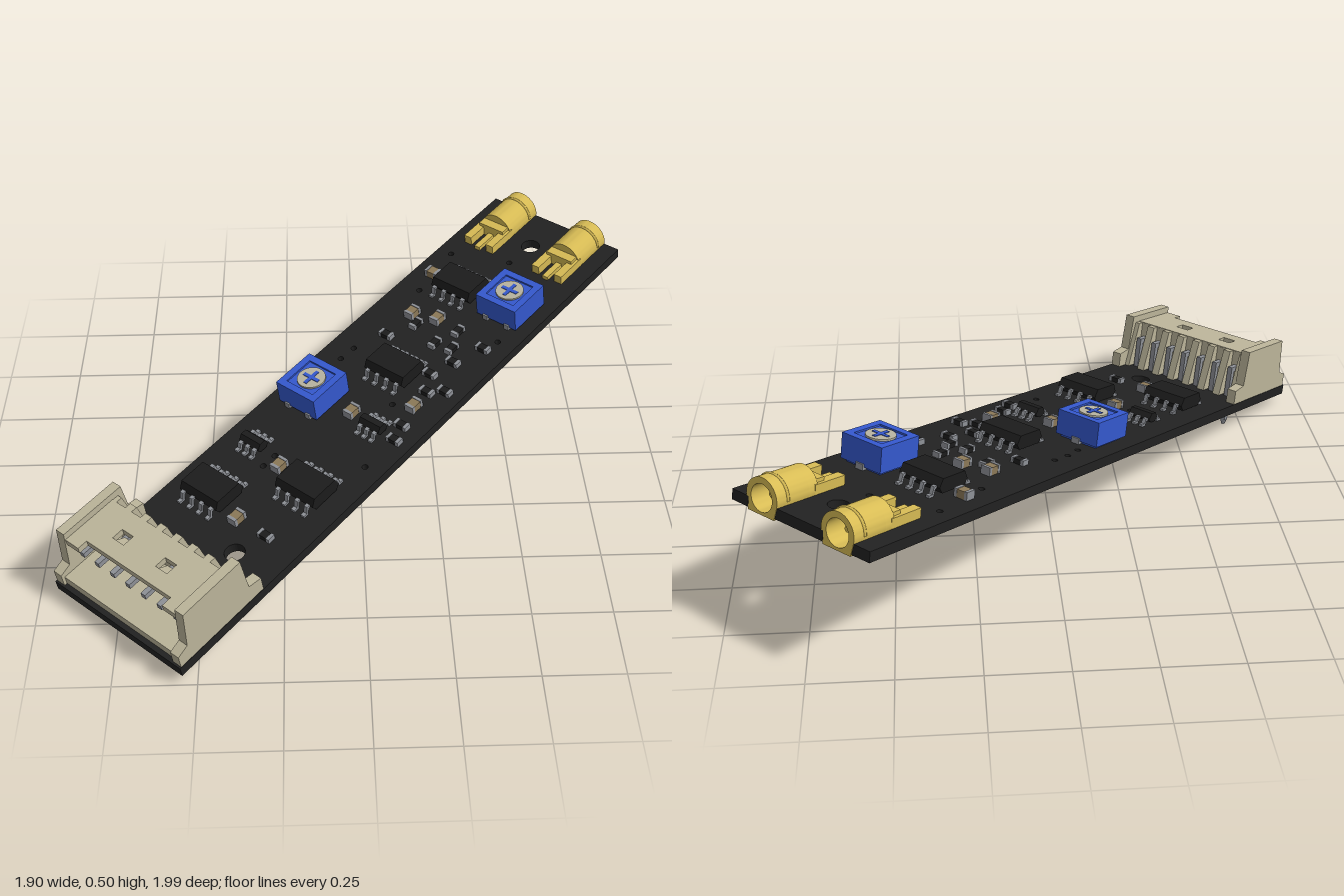
import * as THREE from 'three';
import { toCreasedNormals } from 'three/addons/utils/BufferGeometryUtils.js';

const mat = (name, color, extra = {}) => Object.assign(new THREE.MeshStandardMaterial({ color, ...extra }), { name });

export function createModel() {
  const M = {
    board: mat('board black', 0x222222),
    chip: mat('chip black', 0x1c1c1c),
    blue: mat('trimmer blue', 0x3559cf),
    dial: mat('dial grey', 0xb9b5a2),
    gold: mat('gold', 0xd8bc55),
    beige: mat('housing beige', 0xbdb69b),
    metal: mat('lead metal', 0x8f9298),
    tan: mat('capacitor tan', 0x8d7a58),
  };
  const model = new THREE.Group();
  model.name = 'circuitBoardModel';

  // Board frame: x across, y away from the top face, z towards the socket end
  const pcb = new THREE.Group();
  pcb.name = 'boardAssembly';
  pcb.rotation.set(0.162, -0.745, 0, 'YXZ');
  pcb.position.set(0, 0.243, 0);
  model.add(pcb);

  const add = (parent, name, geo, material, x = 0, y = 0, z = 0) => {
    const m = new THREE.Mesh(geo, material);
    m.name = name;
    m.position.set(x, y, z);
    parent.add(m);
    return m;
  };
  const box = (parent, name, material, w, h, d, x, y, z) =>
    add(parent, name, new THREE.BoxGeometry(w, h, d), material, x, y, z);
  const group = (name, x = 0, z = 0) => {
    const g = new THREE.Group();
    g.name = name;
    g.position.set(x, 0, z);
    pcb.add(g);
    return g;
  };
  const shapeOf = pts => new THREE.Shape(pts.map(p => new THREE.Vector2(...p)));
  const circleHole = (s, x, y, r) => s.holes.push(new THREE.Path().absarc(x, y, r, 0, Math.PI * 2, true));
  const extrude = (s, depth) => new THREE.ExtrudeGeometry(s, { depth, bevelEnabled: false, curveSegments: 16 });
  // Plan outline (x, z) with its top at y = 0
  const plate = (s, t) => extrude(s, t).rotateX(Math.PI / 2);
  // Side outline (z, y) centred across x
  const profile = (pts, w) => extrude(shapeOf(pts), w).rotateY(-Math.PI / 2).translate(w / 2, 0, 0);

  // Board with edge notches, mounting holes and vias
  const T = 0.034, L = 1.1165, W = 0.2725, NOTCH = -0.925;
  const outline = [[-W, -L]];
  for (const c of [-0.15, 0.15]) outline.push([c - 0.055, -L], [c - 0.055, NOTCH], [c + 0.055, NOTCH], [c + 0.055, -L]);
  outline.push([W, -L], [W, L], [-W, L]);
  const boardShape = shapeOf(outline);
  circleHole(boardShape, 0, -0.961, 0.033);
  circleHole(boardShape, 0.103, 0.71, 0.033);
  for (const [x, z] of [[-0.215, -0.77], [-0.186, -0.55], [-0.009, -0.845], [0.205, -0.49], [-0.186, -0.19],
    [-0.189, -0.125], [-0.18, -0.06], [0.098, -0.055], [0.204, 0.21], [-0.069, 0.34], [-0.07, 0.395]])
    circleHole(boardShape, x, z, 0.01);
  add(pcb, 'board', plate(boardShape, T), M.board);

  // Gold edge connectors
  for (const x of [-0.15, 0.15]) {
    const g = group('coaxConnector', x);
    const s = new THREE.Shape();
    s.moveTo(-0.053, -0.04).lineTo(0.053, -0.04).lineTo(0.053, 0);
    s.absarc(0, 0.012, 0.063, -0.19, Math.PI + 0.19, false);
    s.lineTo(-0.053, -0.04);
    const ring = s.clone();
    circleHole(ring, 0, 0.012, 0.043);
    add(g, 'barrel', toCreasedNormals(extrude(ring, 0.125), 0.5), M.gold, 0, 0, -1.118);
    add(g, 'barrelBack', toCreasedNormals(extrude(s, 0.035), 0.5), M.gold, 0, 0, -0.993);
    add(g, 'collar', new THREE.TorusGeometry(0.061, 0.006, 6, 24, Math.PI), M.gold, 0, 0.012, -1.075);
    add(g, 'centrePin', new THREE.CylinderGeometry(0.01, 0.01, 0.09, 10).rotateX(Math.PI / 2), M.gold, 0, 0.012, -1.035);
    box(g, 'body', M.gold, 0.105, 0.085, 0.035, 0, 0.0025, -0.943);
    for (const side of [-1, 1]) box(g, 'groundLeg', M.gold, 0.03, 0.032, 0.12, side * 0.048, 0.017, -0.91);
    box(g, 'signalLeg', M.gold, 0.022, 0.014, 0.12, 0, 0.008, -0.9);
  }

  // Blue trimmers
  for (const [x, z] of [[0.146, -0.643], [-0.138, 0.067]]) {
    const g = group('trimmer', x, z);
    box(g, 'trimmerBody', M.blue, 0.165, 0.078, 0.165, 0, 0.049, 0);
    box(g, 'trimmerBase', M.blue, 0.14, 0.012, 0.14, 0, 0.006, 0);
    for (const s of [-1, 1]) {
      box(g, 'topRim', M.blue, 0.165, 0.006, 0.025, 0, 0.091, s * 0.07);
      box(g, 'topRim', M.blue, 0.025, 0.006, 0.115, s * 0.07, 0.091, 0);
      box(g, 'trimmerLead', M.metal, 0.02, 0.02, 0.02, s * 0.045, 0.01, 0.078);
    }
    box(g, 'trimmerLead', M.metal, 0.03, 0.02, 0.02, 0, 0.01, -0.078);
    add(g, 'dial', new THREE.CylinderGeometry(0.048, 0.048, 0.006, 24), M.dial, 0, 0.091, 0);
    box(g, 'dialSlot', M.blue, 0.064, 0.003, 0.013, 0, 0.0945, 0);
    box(g, 'dialSlot', M.blue, 0.013, 0.003, 0.064, 0, 0.0945, 0);
  }

  // Chips with a row of bent leads on each end
  const chip = (x, z, w, d, h, leads, pitch) => {
    const g = group('chip', x, z);
    const a = d / 2, b = d / 2 - 0.014;
    add(g, 'chipBody', profile([[-b, 0.008], [b, 0.008], [a, h / 2], [b, h], [-b, h], [-a, h / 2]], w), M.chip);
    for (let i = 0; i < leads; i++) for (const s of [-1, 1]) {
      const lead = add(g, 'lead', profile([[0, h / 2 - 0.004], [0.008, h / 2 - 0.004], [0.014, 0], [0.034, 0],
        [0.034, 0.008], [0.02, 0.008], [0.014, h / 2 + 0.004], [0, h / 2 + 0.004]], 0.014), M.metal,
      (i - (leads - 1) / 2) * pitch, 0, s * (a - 0.003));
      if (s < 0) lead.rotation.y = Math.PI;
    }
  };
  for (const [x, z] of [[-0.122, 0.575], [0.119, 0.39], [0.007, -0.18], [-0.067, -0.635]])
    chip(x, z, 0.16, 0.125, 0.055, 4, 0.041);
  chip(-0.155, 0.345, 0.085, 0.05, 0.04, 3, 0.03);
  chip(0.117, 0.065, 0.085, 0.05, 0.04, 3, 0.03);

  // Small two-ended parts: x, z, capacitor (1) or resistor (0), turned
  const passives = [[-0.194, -0.64, 1, 0], [-0.124, -0.435, 1, 1], [-0.032, -0.46, 1, 1], [0.015, 0.053, 1, 1],
    [0.167, -0.083, 1, 1], [-0.02, 0.37, 1, 1], [0.019, 0.61, 1, 1], [0.142, 0.61, 0, 0], [0.035, -0.36, 0, 1],
    [0.065, -0.45, 0, 1], [0.188, -0.43, 0, 0], [0.145, -0.32, 0, 0], [0.209, -0.195, 0, 0], [0.116, -0.233, 0, 0],
    [0.189, 0.006, 0, 0], [-0.08, -0.4, 0, 1], [0.1, -0.37, 0, 1], [0.16, -0.16, 0, 0], [0.21, 0.07, 0, 0], [-0.13, -0.3, 0, 0]];
  for (const [x, z, cap, turned] of passives) {
    const g = group(cap ? 'capacitor' : 'resistor', x, z);
    const h = cap ? 0.026 : 0.016, d = cap ? 0.034 : 0.026;
    if (turned) g.rotation.y = Math.PI / 2;
    box(g, 'core', cap ? M.tan : M.chip, 0.03, h, d, 0, h / 2, 0);
    for (const s of [-1, 1]) box(g, 'endCap', M.metal, 0.011, h + 0.002, d + 0.002, s * 0.02, h / 2 + 0.001, 0);
  }

  // Socket housing, open towards +z
  const socket = group('socket');
  const wall = [[0.76, 0], [1.11, 0], [1.11, 0.045], [1.07, 0.06], [1.055, 0.185], [0.82, 0.185], [0.81, 0.06], [0.76, 0.05]];
  for (const s of [-1, 1]) add(socket, 'sideWall', profile(wall, 0.034), M.beige, s * 0.254, 0, 0);
  box(socket, 'socketFloor', M.beige, 0.48, 0.03, 0.25, 0, 0.015, 0.975);
  box(socket, 'backWall', M.beige, 0.48, 0.158, 0.025, 0, 0.079, 0.872);
  const roof = shapeOf([[-0.24, 0.86], [0.24, 0.86], [0.24, 1.055], [0.18, 1.055], [0.18, 1.02],
    [-0.18, 1.02], [-0.18, 1.055], [-0.24, 1.055]]);
  for (const x of [-0.1, 0.085]) roof.holes.push(new THREE.Path([[-1, -1], [-1, 1], [1, 1], [1, -1]]
    .map(([a, b]) => new THREE.Vector2(x + a * 0.024, 0.945 + b * 0.02))));
  add(socket, 'roof', plate(roof, 0.022), M.beige, 0, 0.162, 0);
  for (const x of [-0.1, 0.085]) add(socket, 'latchRamp',
    profile([[0.925, 0.118], [0.965, 0.14], [0.965, 0.148], [0.925, 0.125]], 0.048), M.beige, x, 0, 0);
  for (let i = 0; i < 8; i++)
    add(socket, 'backRib', profile([[0.8, 0], [0.87, 0], [0.87, 0.16], [0.838, 0.16]], 0.028), M.beige, (i - 3.5) * 0.067, 0, 0);

  // Bent socket pins with tapered tails under the board
  for (let i = 0; i < 7; i++) {
    const x = (i - 3) * 0.067;
    box(socket, 'pinUpright', M.metal, 0.018, 0.2, 0.018, x, 0.01, 0.827);
    box(socket, 'pinContact', M.metal, 0.018, 0.018, 0.22, x, 0.101, 0.928);
    add(socket, 'pinTail', new THREE.CylinderGeometry(0.0127, 0.006, 0.02, 4).rotateY(Math.PI / 4), M.metal, x, -0.1, 0.827);
  }
  return model;
}
